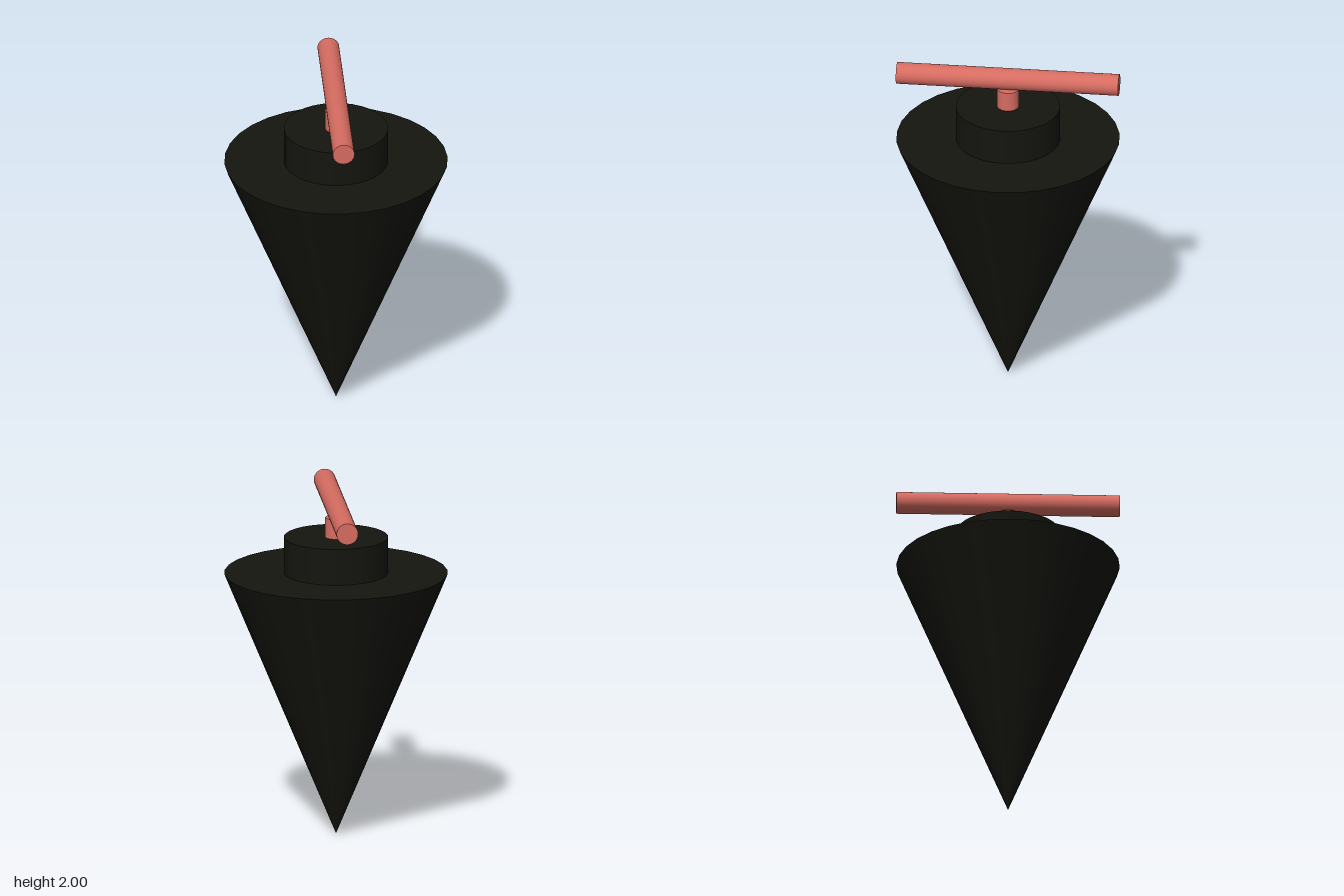
import * as THREE from 'three';

export function createModel() {
  const group = new THREE.Group();
  const dark = new THREE.MeshStandardMaterial({ color: 0x14150f });
  const red = new THREE.MeshStandardMaterial({ color: 0xd66c61 });

  // Upright cylinder or cone spanning y0 to y1
  const addRound = (name, rTop, rBottom, y0, y1, material) => {
    const mesh = new THREE.Mesh(new THREE.CylinderGeometry(rTop, rBottom, y1 - y0, 32), material);
    mesh.name = name;
    mesh.position.y = (y0 + y1) / 2;
    group.add(mesh);
    return mesh;
  };

  // Inverted cone with a short drum on its flat top
  addRound('coneBody', 0.643, 0, 0, 1.548, dark);
  addRound('topDrum', 0.3, 0.3, 1.548, 1.76, dark);

  // T-shaped handle: stem and a bar running front to back
  addRound('handleStem', 0.0625, 0.0625, 1.76, 1.876, red);
  const bar = addRound('handleBar', 0.0625, 0.0625, 0, 1.286, red);
  bar.rotation.x = Math.PI / 2;
  bar.position.y = 1.9375;

  return group;
}
